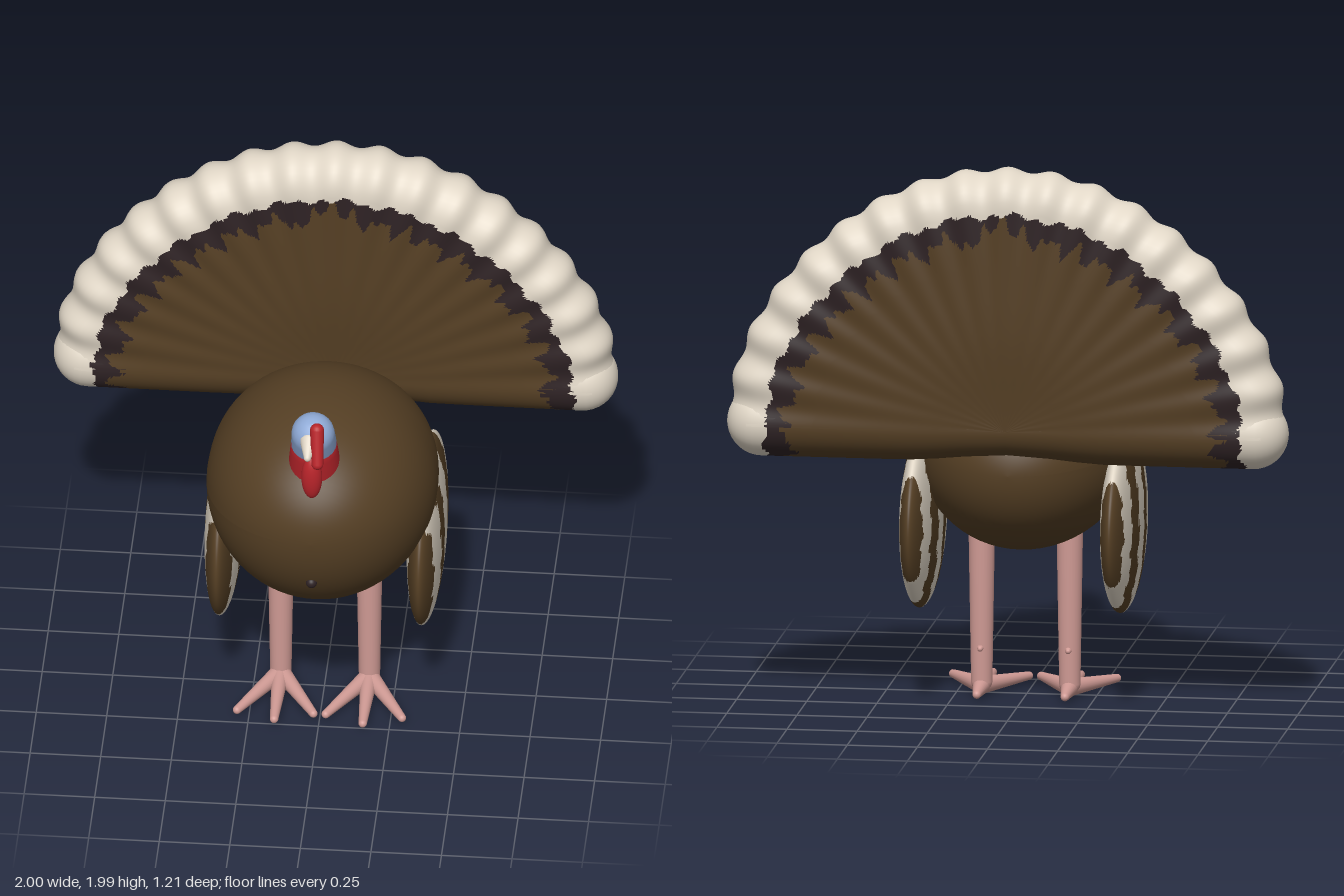
import * as THREE from 'three';

const mat = (name, color) => {
  const m = new THREE.MeshStandardMaterial({ color });
  m.name = name;
  return m;
};
const V = (x, y, z) => new THREE.Vector3(x, y, z);

// Regroups the triangles of a geometry by a rule giving a material index for each centre
function paintFaces(geo, count, pick) {
  const index = geo.index.array, p = geo.attributes.position;
  const lists = Array.from({ length: count }, () => []);
  const a = V(), b = V(), c = V();
  for (let i = 0; i < index.length; i += 3) {
    a.fromBufferAttribute(p, index[i]);
    b.fromBufferAttribute(p, index[i + 1]);
    c.fromBufferAttribute(p, index[i + 2]);
    a.add(b).add(c).divideScalar(3);
    lists[pick(a)].push(index[i], index[i + 1], index[i + 2]);
  }
  geo.setIndex(lists.flat());
  geo.clearGroups();
  let start = 0;
  lists.forEach((l, i) => { geo.addGroup(start, l.length, i); start += l.length; });
  return geo;
}

// Tail fan: half thickness, slightly thinner root, lobes every 10 degrees, ragged colour bands
const R = 0.125;
const tipRadius = (phi) => 0.935 + 0.065 * Math.cos(phi) ** 6;
const thickness = (r) => R * (0.8 + 0.2 * THREE.MathUtils.smoothstep(r, 0, 0.38));
function tailBand(d, phi) {
  const outer = 0.152 + 0.008 * (Math.sin(23 * phi + 1) + Math.sin(61 * phi));
  const spikes = 0.026 * Math.sin(36 * phi + 2 * Math.sin(5 * phi)) + 0.018 * Math.sin(67 * phi) + 0.01 * Math.sin(131 * phi);
  const gap = 0.1 * Math.exp(-(((phi - Math.PI / 2) / 0.04) ** 2));
  if (d < outer) return 2;
  return d < 0.232 + spikes - gap ? 1 : 0;
}
// Distance from the tip and relative height of points on a feather's side, root to tip
function featherProfile() {
  const pts = [];
  for (const d of [0.85, 0.75, 0.66, 0.56, 0.45]) pts.push([d, 1]);
  for (let k = 0; k <= 18; k++) pts.push([0.32 - k * 0.0108, 1]);
  for (let k = 1; k <= 9; k++) {
    const t = k / 9 * Math.PI / 2;
    pts.push([R - R * Math.sin(t), k < 9 ? Math.cos(t) : 0]);
  }
  return pts;
}

export function createModel() {
  const brown = mat('brown feathers', 0x553f24);
  const dark = mat('dark feathers', 0x2e2224);
  const cream = mat('cream feathers', 0xe0d6c6);
  const blue = mat('blue skin', 0x8faad6);
  const red = mat('red skin', 0xb8242a);
  const pink = mat('pink legs', 0xcf9a94);

  const model = new THREE.Group();
  model.name = 'turkey';
  const add = (name, geo, material, parent = model) => {
    const m = new THREE.Mesh(geo, material);
    m.name = name;
    parent.add(m);
    return m;
  };
  const ellipsoid = (name, material, pos, size) => {
    add(name, new THREE.SphereGeometry(1, 32, 20).scale(...size), material).position.set(...pos);
  };
  // Rounded, tapering rod between two points
  const rod = (name, material, from, to, r0, r1, parent = model) => {
    const len = from.distanceTo(to), pts = [];
    for (let i = 0; i <= 6; i++) {
      const t = (i / 6 - 1) * Math.PI / 2;
      pts.push(new THREE.Vector2(r0 * Math.cos(t), r0 * Math.sin(t)));
    }
    for (let i = 0; i <= 6; i++) {
      const t = i / 6 * Math.PI / 2;
      pts.push(new THREE.Vector2(r1 * Math.cos(t), len + r1 * Math.sin(t)));
    }
    pts[0].x = pts[pts.length - 1].x = 0;
    const m = add(name, new THREE.LatheGeometry(pts, 24), material, parent);
    m.position.copy(from);
    m.quaternion.setFromUnitVectors(V(0, 1, 0), to.clone().sub(from).normalize());
  };

  // Egg-shaped body, sloping down to the back with a full breast
  const bodyGeo = new THREE.SphereGeometry(1, 64, 48).rotateX(Math.PI / 2).scale(0.407, 0.403, 0.54);
  const bp = bodyGeo.attributes.position;
  for (let i = 0; i < bp.count; i++) {
    const y = bp.getY(i), z = bp.getZ(i);
    const w = z > 0 && y < 0 ? 1 + y / 0.403 : 1;
    const drop = z < 0 && y > 0 ? 0.7 * y * z * z : 0;
    bp.setX(i, bp.getX(i) * (1 + 0.14 * Math.max(0, z)));
    bp.setY(i, y + 0.13 * z * w - drop);
  }
  bodyGeo.computeVertexNormals();
  add('body', bodyGeo, brown).position.set(0, 0.953, 0.047);
  ellipsoid('beard', dark, [0, 0.83, 0.54], [0.02, 0.02, 0.02]);

  // Lobed tail fan swept through half a turn
  const fan = new THREE.Group();
  fan.name = 'tailFan';
  fan.position.set(0, 1.06, -0.48);
  model.add(fan);
  const side = featherProfile();
  const section = [[2, 1], ...side, ...side.slice(0, -1).reverse().map(([d, h]) => [d, -h]), [2, -1]];
  const steps = 324, n = section.length, pos = [], idx = [];
  for (let i = 0; i <= steps; i++) {
    const phi = i / steps * Math.PI;
    const dip = 0.018 * Math.sin(18 * phi) ** 2, tip = tipRadius(phi) - dip;
    for (const [d, h] of section) {
      const r = Math.max(0, tip - d);
      pos.push(r * Math.cos(phi), r * Math.sin(phi), h * (thickness(r) - dip * (r / tip) ** 3));
    }
  }
  for (let i = 0; i < steps; i++) {
    for (let j = 0; j < n - 1; j++) {
      const a = i * n + j, b = a + n;
      idx.push(a, a + 1, b, b, a + 1, b + 1);
    }
  }
  const fanGeo = new THREE.BufferGeometry();
  fanGeo.setAttribute('position', new THREE.Float32BufferAttribute(pos, 3));
  fanGeo.setIndex(idx);
  fanGeo.computeVertexNormals();
  paintFaces(fanGeo, 3, (c) => {
    const phi = Math.atan2(c.y, c.x);
    // Front and back have different ragged edges
    return tailBand(tipRadius(phi) - Math.hypot(c.x, c.y), c.z > 0 ? phi : Math.PI - phi);
  });
  add('fanFeathers', fanGeo, [brown, dark, cream], fan);

  // Round feathers closing the lower edges of the fan
  for (const s of [-1, 1]) {
    const pts = [[1, 1], ...side].map(([d, h]) => new THREE.Vector2(thickness(1 - d) * h, 1 - d));
    const geo = paintFaces(new THREE.LatheGeometry(pts, 48), 3,
      (c) => tailBand(1 - c.y, 0.13 * Math.atan2(c.z, c.x)));
    add('edgeFeather', geo, [brown, dark, cream], fan).rotation.z = -s * Math.PI / 2;
  }

  // Flat wings with ragged cream bars, the rear ones slanting
  const bars = [[0.055, 0.197], [-0.16, -0.038], [-0.395, -0.285]];
  for (const s of [-1, 1]) {
    const geo = new THREE.SphereGeometry(1, 56, 72).rotateX(Math.PI / 2).scale(0.066, 0.32, 0.395);
    paintFaces(geo, 2, (c) => {
      const slant = 0.05 * c.y * THREE.MathUtils.clamp(-4 * c.z, 0, 1);
      const z = c.z - 0.085 - slant + 0.011 * Math.sin(c.y * 47 + c.z * 6) + 0.008 * Math.sin(c.y * 93 + c.z * 21);
      return bars.some(([lo, hi]) => z > lo && z < hi) ? 1 : 0;
    });
    add(s > 0 ? 'leftWing' : 'rightWing', geo, [brown, cream]).position.set(s * 0.358, 0.65, -0.085);
  }

  // Legs with spurs and four-toed feet
  for (const s of [-1, 1]) {
    const leg = new THREE.Group();
    leg.name = s > 0 ? 'leftLeg' : 'rightLeg';
    leg.position.set(s * 0.157, 0, -0.03);
    model.add(leg);
    rod('shank', pink, V(0, 0.05, 0), V(0, 0.66, 0), 0.038, 0.048, leg);
    rod('spur', pink, V(0, 0.18, -0.02), V(0, 0.174, -0.042), 0.018, 0.01, leg);
    for (const [x, z] of [[0, 0.28], [-0.135, 0.235], [0.135, 0.235], [0, -0.125]]) {
      rod('toe', pink, V(0, 0.036, 0), V(x, 0.026, z), 0.032, 0.015, leg);
    }
  }

  // Neck and head
  rod('neck', red, V(0, 1.22, 0.4), V(0, 1.335, 0.432), 0.096, 0.084);
  rod('head', blue, V(0, 1.345, 0.43), V(0, 1.425, 0.472), 0.081, 0.077);
  ellipsoid('wattle', red, [0, 1.275, 0.525], [0.037, 0.088, 0.031]);

  // Beak and hanging snood
  rod('beak', cream, V(-0.006, 1.43, 0.53), V(-0.01, 1.402, 0.59), 0.036, 0.013);
  rod('snood', red, V(0.02, 1.49, 0.542), V(0.025, 1.375, 0.585), 0.025, 0.021);

  return model;
}
